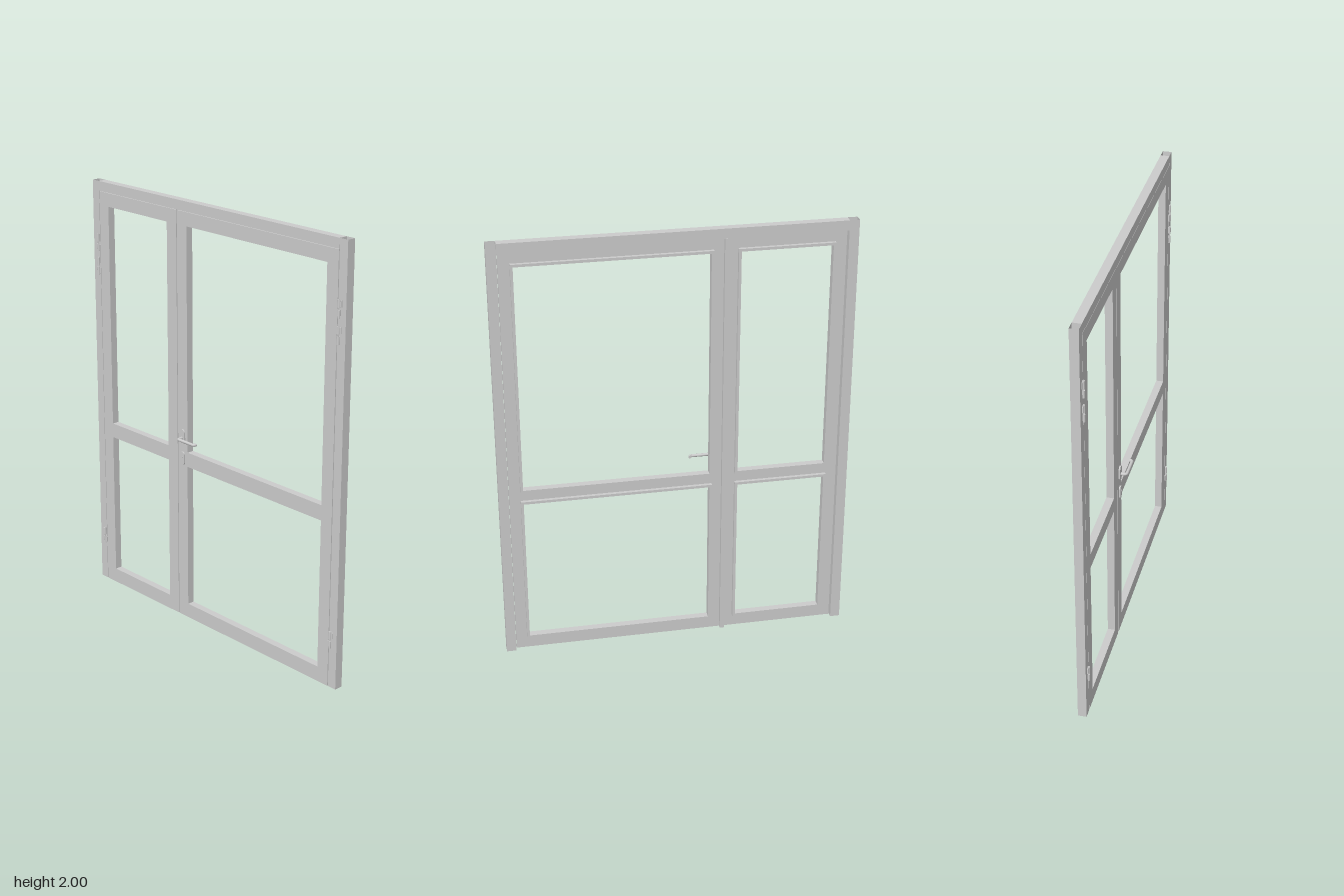
import * as THREE from 'three';

const grey = new THREE.MeshStandardMaterial({ color: 0xcccccc, side: THREE.DoubleSide });

function add(parent, name, geometry, x = 0, y = 0, z = 0) {
  const mesh = new THREE.Mesh(geometry, grey);
  mesh.name = name;
  mesh.position.set(x, y, z);
  parent.add(mesh);
  return mesh;
}

// Box given by its limits on each axis
function block(parent, name, x0, x1, y0, y1, z0, z1) {
  return add(parent, name, new THREE.BoxGeometry(x1 - x0, y1 - y0, z1 - z0),
    (x0 + x1) / 2, (y0 + y1) / 2, (z0 + z1) / 2);
}

function rectangle(target, x0, x1, y0, y1) {
  target.moveTo(x0, y0);
  target.lineTo(x1, y0);
  target.lineTo(x1, y1);
  target.lineTo(x0, y1);
  target.closePath();
  return target;
}

// Rectangular panel with rectangular openings, between z0 and z1
function panel(parent, name, outer, holes, z0, z1) {
  const shape = rectangle(new THREE.Shape(), ...outer);
  holes.forEach((h) => shape.holes.push(rectangle(new THREE.Path(), ...h)));
  const geometry = new THREE.ExtrudeGeometry(shape, { depth: z1 - z0, bevelEnabled: false });
  return add(parent, name, geometry, 0, 0, z0);
}

// Door leaf: flush front, recessed back, raised bead round each opening
function makeLeaf(name, x0, x1, open0, open1) {
  const leaf = new THREE.Group();
  leaf.name = name;
  const openings = [[open0, open1, 0.07, 0.765], [open0, open1, 0.835, 1.89]];
  panel(leaf, 'leafFrame', [x0, x1, 0, 1.953], openings, -0.018, 0);
  const b = 0.012;
  openings.forEach(([l, r, lo, hi]) =>
    panel(leaf, 'glazingBead', [l - b, r + b, lo - b, hi + b], [[l, r, lo, hi]], -0.034, -0.018));
  return leaf;
}

// Hinge: two knuckles on a pin, with a flap to the leaf and one to the jamb
function makeHinge(side, y) {
  const hinge = new THREE.Group();
  hinge.name = 'hinge';
  const x = side * 0.764;
  add(hinge, 'hingePin', new THREE.CylinderGeometry(0.003, 0.003, 0.084, 12), x, y, 0.004);
  [-1, 1].forEach((end) => {
    add(hinge, 'knuckle', new THREE.CylinderGeometry(0.006, 0.006, 0.034, 16), x, y + end * 0.022, 0.004);
    const reach = side * end * 0.007;
    add(hinge, 'flap', new THREE.BoxGeometry(0.014, 0.028, 0.004), x + reach, y + end * 0.022, 0.002);
  });
  return hinge;
}

// Upright plate with round ends
function roundPlate(parent, name, x, y, width, height) {
  const r = width / 2, s = height / 2 - r;
  const shape = new THREE.Shape();
  shape.absarc(0, s, r, 0, Math.PI);
  shape.absarc(0, -s, r, Math.PI, Math.PI * 2);
  shape.closePath();
  const geometry = new THREE.ExtrudeGeometry(shape, { depth: 0.007, bevelEnabled: false, curveSegments: 14 });
  return add(parent, name, geometry, x, y, 0);
}

function makeHandle() {
  const handle = new THREE.Group();
  handle.name = 'handle';
  const x = -0.185, y = 0.9;
  roundPlate(handle, 'handlePlate', x, y + 0.005, 0.03, 0.072);
  roundPlate(handle, 'lockPlate', x, 0.8, 0.026, 0.064);
  add(handle, 'lockCylinder', new THREE.CylinderGeometry(0.005, 0.005, 0.003, 16), x, 0.808, 0.008)
    .rotation.x = Math.PI / 2;
  // Lever comes out of the plate, turns sideways and curls back at its tip
  const v = (px, pz) => new THREE.Vector3(px, y, pz);
  const path = new THREE.CurvePath();
  path.add(new THREE.LineCurve3(v(x, 0.004), v(x, 0.02)));
  path.add(new THREE.QuadraticBezierCurve3(v(x, 0.02), v(x, 0.032), v(x + 0.014, 0.032)));
  path.add(new THREE.LineCurve3(v(x + 0.014, 0.032), v(-0.086, 0.032)));
  path.add(new THREE.QuadraticBezierCurve3(v(-0.086, 0.032), v(-0.076, 0.032), v(-0.076, 0.02)));
  add(handle, 'lever', new THREE.TubeGeometry(path, 48, 0.007, 12));
  const tip = add(handle, 'leverTip', new THREE.CircleGeometry(0.007, 12), -0.076, y, 0.02);
  tip.rotation.y = Math.PI;
  return handle;
}

export function createModel() {
  const door = new THREE.Group();
  door.name = 'doubleDoor';

  // Fixed frame: head between two jambs that are open at the top
  block(door, 'frameHead', -0.755, 0.755, 1.955, 2, -0.04, 0);
  [-1, 1].forEach((side) => {
    const jamb = block(door, 'frameJamb', side * 0.7775 - 0.0215, side * 0.7775 + 0.0225, 0, 2, -0.04, 0);
    const index = Array.from(jamb.geometry.index.array);
    index.splice(12, 6);
    jamb.geometry.setIndex(index);
    jamb.geometry.clearGroups();
  });

  // Narrow and wide leaves, with a cover strip behind their joint
  door.add(makeLeaf('narrowLeaf', -0.752, -0.222, -0.69, -0.285));
  door.add(makeLeaf('wideLeaf', -0.218, 0.752, -0.155, 0.69));
  block(door, 'meetingStrip', -0.232, -0.212, 0, 1.953, -0.036, -0.017);

  // Hinges: a pair near the top and one near the bottom of each side
  [-1, 1].forEach((side) => [0.23, 1.6, 1.712].forEach((y) => door.add(makeHinge(side, y))));

  door.add(makeHandle());
  return door;
}
